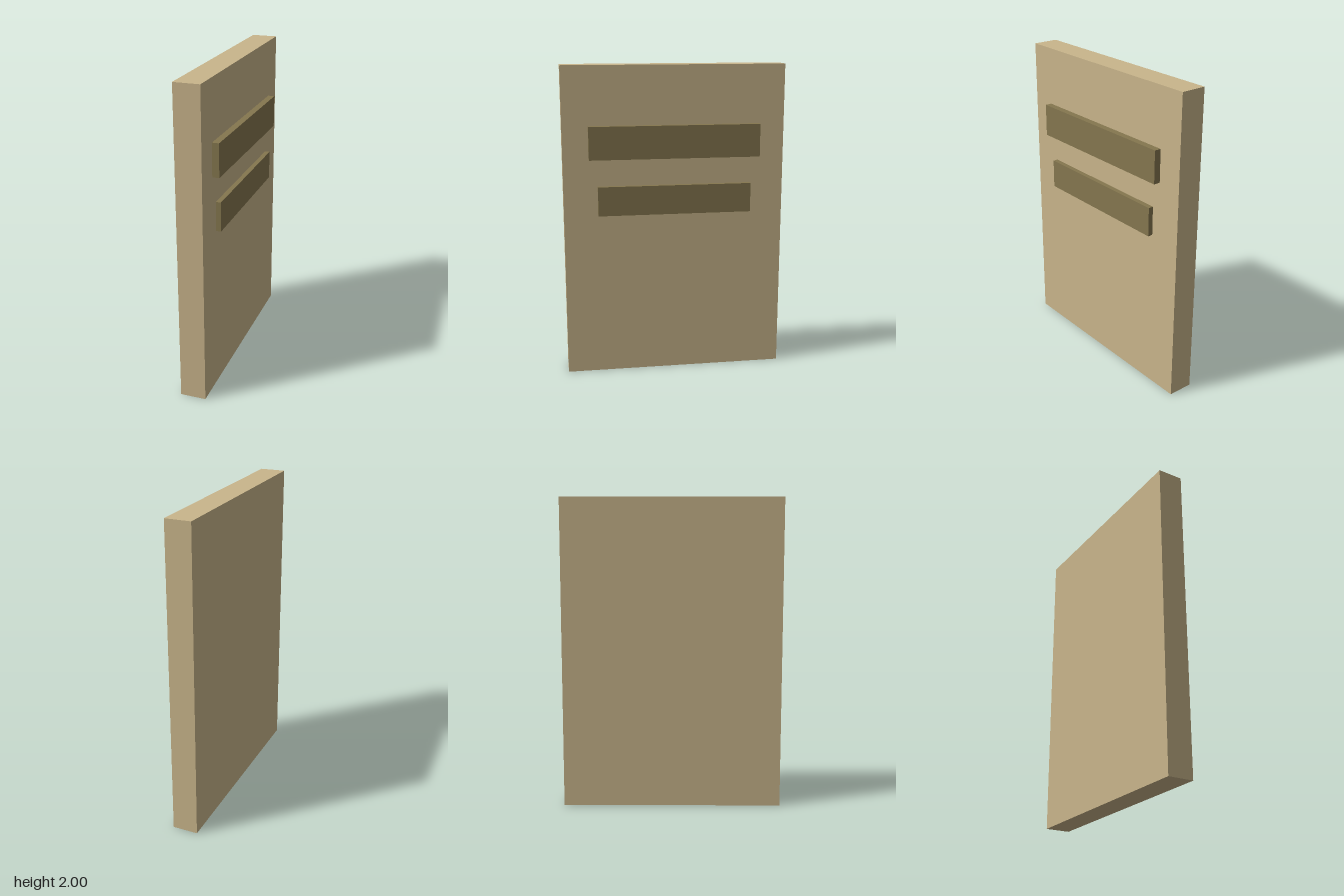
import * as THREE from 'three';

// Box given by its x and y extents, centred on z = 0
function slab(name, material, x0, x1, y0, y1, depth) {
  const mesh = new THREE.Mesh(new THREE.BoxGeometry(x1 - x0, y1 - y0, depth), material);
  mesh.position.set((x0 + x1) / 2, (y0 + y1) / 2, 0);
  mesh.name = name;
  return mesh;
}

export function createModel() {
  const group = new THREE.Group();
  group.name = 'slab';
  const stone = new THREE.MeshStandardMaterial({ color: 0xc9b58b });
  const dark = new THREE.MeshStandardMaterial({ color: 0x85774f });

  // Upright panel
  group.add(slab('panel', stone, -0.103, 0.06, 0, 2, 1.416));
  // Raised bars on the left face, seated slightly into the panel
  group.add(slab('upperBar', dark, 0.05, 0.103, 1.418, 1.627, 1.09));
  group.add(slab('lowerBar', dark, 0.05, 0.092, 1.058, 1.245, 0.983));
  return group;
}
